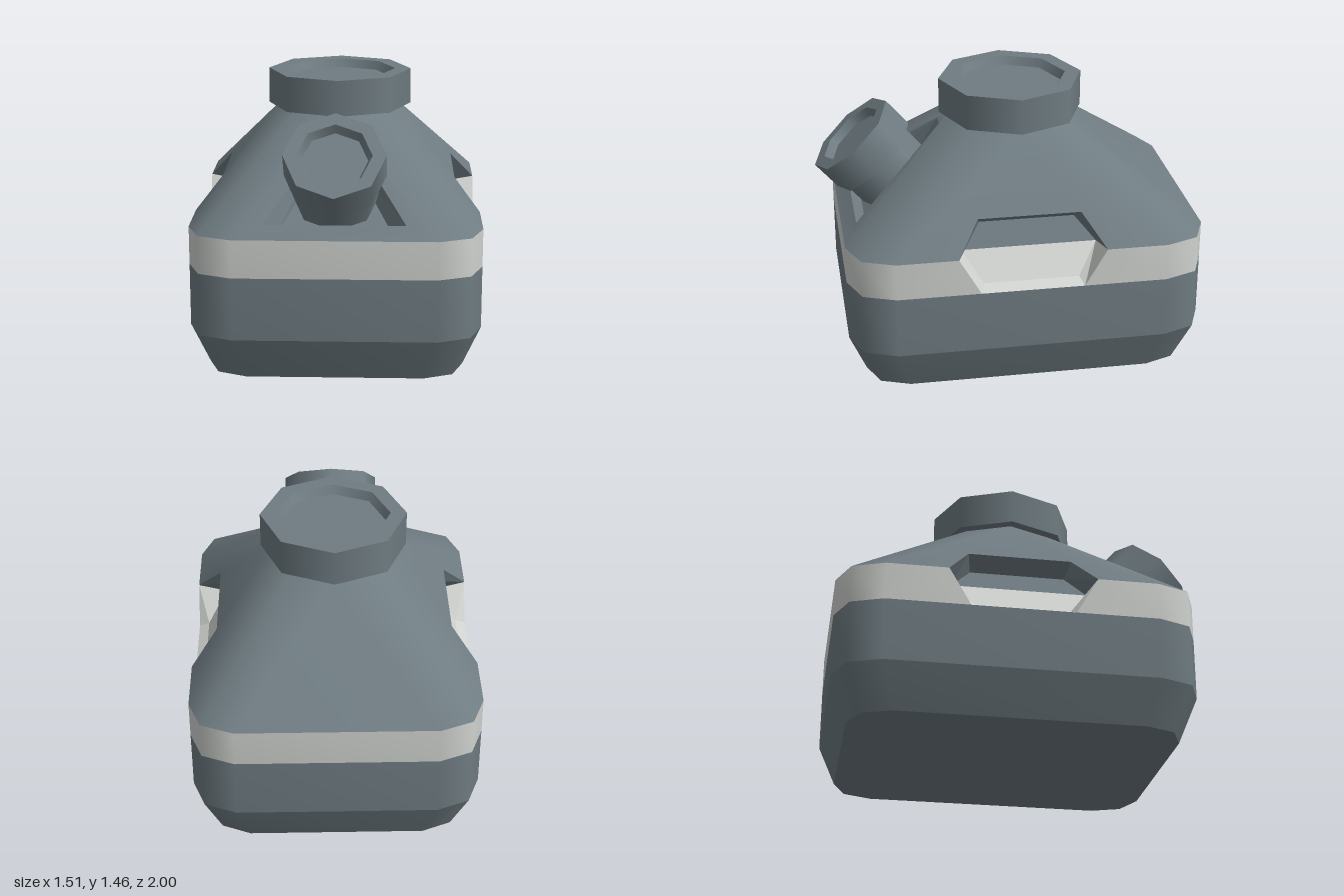
import * as THREE from 'three';
import { mergeVertices } from 'three/addons/utils/BufferGeometryUtils.js';

const CZ = -0.055; // depth centre of the body
const NECK_Y = 1.27, NECK_R = 0.33;
const slate = new THREE.MeshStandardMaterial({ color: 0x6f7c82 });
slate.name = 'slate grey';
const pale = new THREE.MeshStandardMaterial({ color: 0xd0d3d0 });
pale.name = 'pale grey';

const V = (x, y, z) => new THREE.Vector3(x, y, z);

// Collect triangles, turned away from ref (sign 1) or towards it (sign -1)
function surface(name, polys, material, ref, sign = 1, smooth = false) {
  const pos = [];
  for (const p of polys) {
    for (let i = 1; i < p.length - 1; i++) {
      const [a, b, c] = [p[0], p[i], p[i + 1]];
      const n = b.clone().sub(a).cross(c.clone().sub(a));
      if (n.length() < 1e-7) continue;
      const mid = a.clone().add(b).add(c).divideScalar(3);
      const out = n.dot(mid.sub(ref)) * sign > 0;
      for (const v of out ? [a, b, c] : [a, c, b]) pos.push(v.x, v.y, v.z);
    }
  }
  let geo = new THREE.BufferGeometry();
  geo.setAttribute('position', new THREE.Float32BufferAttribute(pos, 3));
  if (smooth) geo = mergeVertices(geo, 1e-4);
  geo.computeVertexNormals();
  const mesh = new THREE.Mesh(geo, material);
  mesh.name = name;
  return mesh;
}

// Flat panel with an optional hole, mapped from 2D into space
function panel(outline, hole, map) {
  const to2 = (l) => l.map(([u, v]) => new THREE.Vector2(u, v));
  const o = to2(outline), h = hole ? [to2(hole)] : [];
  const all = [...o, ...h.flat()].map((p) => map(p.x, p.y));
  return THREE.ShapeUtils.triangulateShape(o, h).map((f) => f.map((i) => all[i]));
}

// Rounded-rectangle footprint: three points on each corner
function footprint(y, sx = 1, sz = 1) {
  const c = [[0.755, 0.705], [0.69, 0.875], [0.52, 0.945]];
  const r = [...c].reverse();
  return [[c, 1, 1], [r, -1, 1], [c, -1, -1], [r, 1, -1]].flatMap(([q, mx, mz]) =>
    q.map(([x, z]) => V(x * mx * sx, y, CZ + z * mz * sz)));
}

// Eight-sided neck ring, with the axis points doubled to match the footprint
const neckRing = [0, 1, 2, 2, 3, 4, 4, 5, 6, 6, 7, 8].map((k) =>
  V(NECK_R * Math.cos(k * Math.PI / 4), NECK_Y, CZ + NECK_R * Math.sin(k * Math.PI / 4)));

const loft = (a, b, skip = []) => a.map((p, i) => {
  const j = (i + 1) % a.length;
  return [p, a[j], b[j], b[i]];
}).filter((_, i) => !skip.includes(i));

// Octagonal turned part: each profile step is its own band, keeping rims sharp
function turned(name, profile, material) {
  const group = new THREE.Group();
  group.name = name;
  for (let i = 0; i < profile.length - 1; i++) {
    const pts = [profile[i], profile[i + 1]].map(([r, y]) => new THREE.Vector2(r, y));
    const mesh = new THREE.Mesh(new THREE.LatheGeometry(pts, 8), material);
    mesh.name = name + 'Band';
    group.add(mesh);
  }
  return group;
}

const cap = (name, r, h, inner, floor, depth) =>
  turned(name, [[0, 0], [r, 0], [r, h], [inner, h], [floor, h - depth], [0, h - depth]], slate);

export function createModel() {
  const model = new THREE.Group();
  model.name = 'canister';
  const core = V(0, 0.4, CZ);

  // Lower body
  const foot = footprint(0, 0.88, 0.905);
  const low = footprint(0.23), bandLow = footprint(0.56), bandTop = footprint(0.76);
  model.add(
    surface('base', [foot], slate, core),
    surface('lowerBevel', loft(foot, low), slate, core, 1, true),
    surface('lowerWall', loft(low, bandLow), slate, core, 1, true));

  // Shoulder and pale band, leaving room for the side grips and front recess
  const band = loft(bandLow, bandTop, [5, 11]);
  const shoulder = loft(bandTop, neckRing, [2, 5, 11]);
  const sideX = (y) => 0.755 - (0.755 - NECK_R) * (y - 0.76) / (NECK_Y - 0.76);
  const frontZ = (y) => 0.89 - (0.89 - CZ - NECK_R) * (y - 0.76) / (NECK_Y - 0.76);

  for (const s of [1, -1]) {
    for (const m of [1, -1]) {
      band.push([[0.705, 0.56], [0.27, 0.56], [0.385, 0.76], [0.705, 0.76]]
        .map(([z, y]) => V(0.755 * s, y, CZ + z * m)));
    }
    shoulder.push(...panel(
      [[-0.705, 0.76], [-0.385, 0.76], [-0.27, 0.92], [0.27, 0.92], [0.385, 0.76], [0.705, 0.76], [0, NECK_Y]],
      null, (z, y) => V(sideX(y) * s, y, CZ + z)));

    // Six-sided grip pocket: pale lower half, slate upper half
    const pocket = (outer, inner) => {
      const ring = ([x, y, z0, z1]) => [V(x * s, y, CZ + z0), V(x * s, y, CZ + z1),
        V(x * s, y, CZ - z1), V(x * s, y, CZ - z0)];
      // points run: middle, end, end, middle
      const place = ([mx, my, mz, ex, ey, ez]) => {
        const m = ring([mx, my, mz, mz]), e = ring([ex, ey, ez, ez]);
        return [m[0], e[0], e[3], m[3]];
      };
      const o = place(outer), i = place(inner);
      return [[o[0], o[1], i[1], i[0]], [o[1], o[2], i[2], i[1]], [o[2], o[3], i[3], i[2]], i];
    };
    const mouth = V(0.75 * s, 0.78, CZ);
    const side = s > 0 ? 'left' : 'right';
    model.add(
      surface(side + 'GripLower', pocket([0.755, 0.76, 0.385, 0.755, 0.56, 0.27],
        [0.6, 0.74, 0.355, 0.7, 0.59, 0.25]), pale, mouth, -1),
      surface(side + 'GripUpper', pocket([0.755, 0.76, 0.385, sideX(0.92), 0.92, 0.27],
        [0.6, 0.74, 0.355, 0.53, 0.86, 0.25]), slate, mouth, -1));
  }

  // Front panel with its tapered recess
  const hole = [[-0.36, 0.82], [0.36, 0.82], [0.04, 1.22], [-0.04, 1.22]];
  const onFront = (x, y) => V(x, y, frontZ(y));
  shoulder.push(...panel([[-0.52, 0.76], [0.52, 0.76], [0, NECK_Y]], hole, onFront));
  const rim = hole.map(([x, y]) => onFront(x, y));
  const sunk = [[-0.29, 0.825], [0.29, 0.825], [0.09, 1.1], [-0.09, 1.1]]
    .map(([x, y]) => onFront(x, y).add(V(0, -0.062, -0.051)));
  model.add(
    surface('band', band, pale, core, 1, true),
    surface('shoulder', shoulder, slate, core, 1, true),
    surface('frontRecess', [...loft(rim, sunk), sunk], slate, V(0, 1.0, 0.64), -1));

  // Top cap
  const topCap = cap('topCap', 0.385, 0.19, 0.3, 0.275, 0.045);
  topCap.position.set(0, NECK_Y, CZ);
  model.add(topCap);

  // Tilted spout: neck and cap
  const spout = new THREE.Group();
  spout.name = 'spout';
  spout.add(turned('spoutNeck', [[0.225, -0.2], [0.225, 0]], slate),
    cap('spoutCap', 0.26, 0.177, 0.19, 0.168, 0.045));
  spout.position.set(0, 1.045, 0.69);
  spout.rotation.x = 0.717;
  model.add(spout);

  return model;
}
